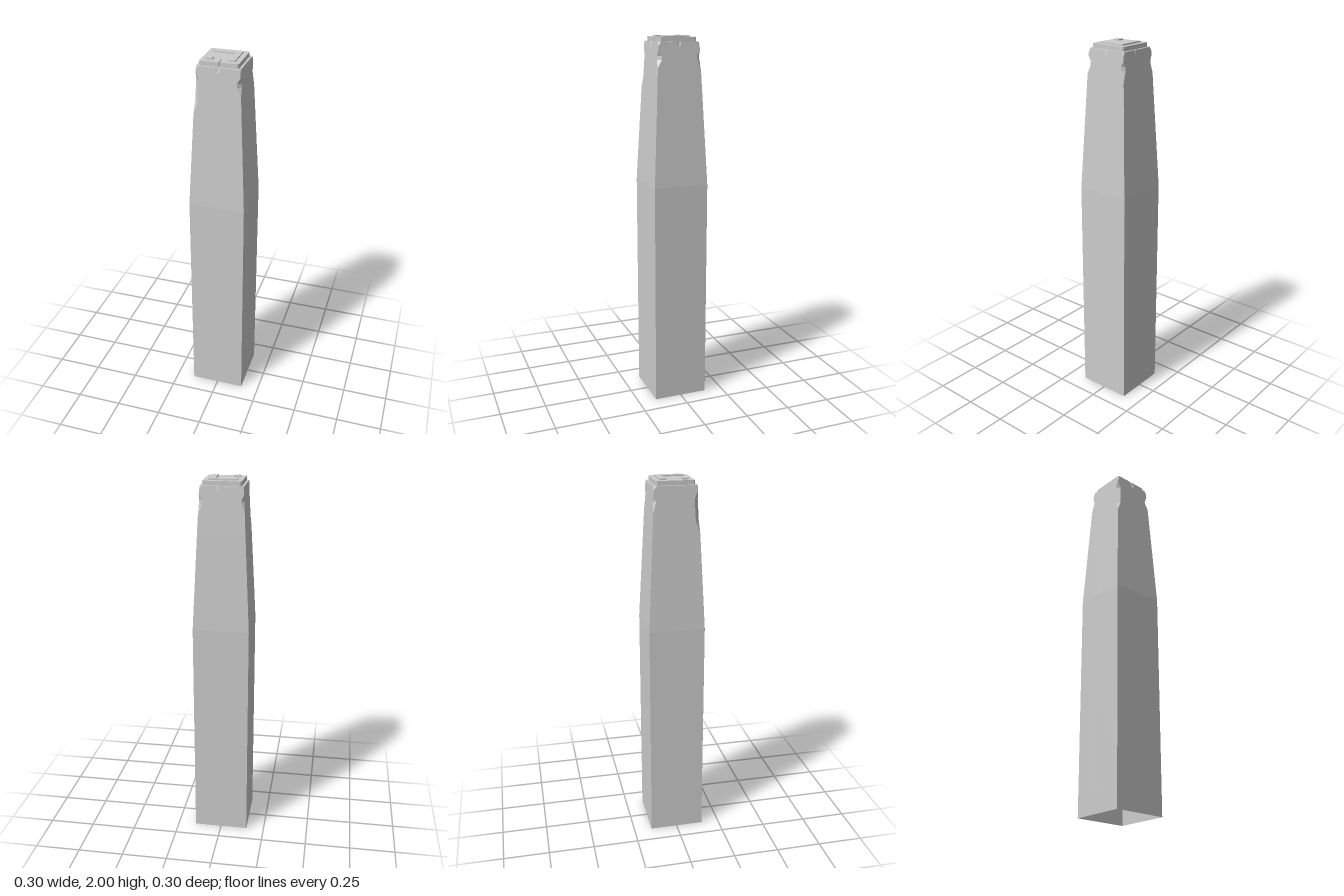
import * as THREE from 'three';

const material = new THREE.MeshStandardMaterial({ color: 0xcccccc, flatShading: true, side: THREE.DoubleSide });

const SHOULDER = 1.22, TOP = 1.97;

// Corner chips, in order front-right (-x), front-left (+x), back-left, back-right:
// [lower end, deepest from, deepest to, upper end, size]
const chips = [
  [1.73, 1.79, 1.9, 1.945, 0.02],
  [1.84, 1.88, 1.9, 1.93, 0.02],
  [1.82, 1.88, 1.9, 1.925, 0.016],
  [1.84, 1.89, 1.9, 1.93, 0.014],
];
// Small nicks in the top rim, per side: [position along side, depth]
const nicks = [[0, 0.008], [0, 0.006], [-0.022, 0.004], [0, 0]];

const halfWidth = (y) => (y < SHOULDER ? 0.15 : THREE.MathUtils.mapLinear(y, SHOULDER, TOP, 0.15, 0.112));

function chamfer([a, b, c, d, size], y) {
  const chip = size * Math.max(0, Math.min(1, (y - a) / (b - a), (d - y) / (d - c)));
  const rim = 0.011 * Math.max(0, (y - 1.95) / (TOP - 1.95));
  return Math.max(chip, rim, 0.0004);
}

// Square cross-section with chamfered corners and a nick in each side
function ring(y) {
  const h = halfWidth(y), points = [];
  for (let k = 0; k < 4; k++) {
    const a = (k * Math.PI) / 2, s = Math.sin(a), c = Math.cos(a);
    const [at, depth] = nicks[k];
    const inset = depth * Math.max(0, (y - 1.945) / (TOP - 1.945));
    const add = (along, out) => points.push(new THREE.Vector3(c * along + s * out, y, -s * along + c * out));
    add(-h + chamfer(chips[k], y), h);
    add(at - 0.011, h);
    add(at, h - inset);
    add(at + 0.009, h);
    add(h - chamfer(chips[(k + 1) % 4], y), h);
  }
  return points;
}

// Hollow shaft, open underneath and closed at the top
function shaftGeometry() {
  const levels = [...new Set([0, SHOULDER, 1.945, 1.95, TOP, ...chips.flatMap((c) => c.slice(0, 4))])].sort((a, b) => a - b);
  const rings = levels.map(ring), tris = [];
  const n = rings[0].length;
  for (let i = 0; i < n; i++) {
    const j = (i + 1) % n;
    for (let r = 0; r < rings.length - 1; r++) {
      const lo = rings[r], hi = rings[r + 1];
      tris.push(lo[i], lo[j], hi[i], lo[j], hi[j], hi[i]);
    }
    const top = rings[rings.length - 1];
    tris.push(new THREE.Vector3(0, TOP, 0), top[i], top[j]);
  }
  const geometry = new THREE.BufferGeometry().setFromPoints(tris);
  geometry.computeVertexNormals();
  return geometry;
}

// Plan outline given as [x, z] points, raised from y0 to y1
function slab(name, outline, y0, y1) {
  const shape = new THREE.Shape(outline.map(([x, z]) => new THREE.Vector2(x, -z)));
  const geometry = new THREE.ExtrudeGeometry(shape, { depth: y1 - y0, bevelEnabled: false });
  geometry.rotateX(-Math.PI / 2).translate(0, y0, 0);
  const mesh = new THREE.Mesh(geometry, material);
  mesh.name = name;
  return mesh;
}

export function createModel() {
  const model = new THREE.Group();
  model.name = 'stonePost';

  const shaft = new THREE.Mesh(shaftGeometry(), material);
  shaft.name = 'shaft';
  model.add(shaft);

  // Cap step with clipped corners and a crack running in from the front
  const w = 0.1, e = 0.094;
  model.add(slab('capStep', [
    [-e, w], [-0.001, w], [0, 0.04], [0.005, w], [e, w], [w, e],
    [w, -e], [e, -w], [-e, -w], [-w, -e], [-w, e],
  ], TOP, 1.993));

  // Raised angle and square on the cap
  const a = 0.074, b = 0.041;
  model.add(slab('raisedAngle', [[-a, -a], [a, -a], [a, a], [b, a], [b, -b], [-a, -b]], 1.99, 2));
  model.add(slab('raisedSquare', [[-a, b], [-b, b], [-b, a], [-a, a]], 1.99, 2));

  return model;
}
